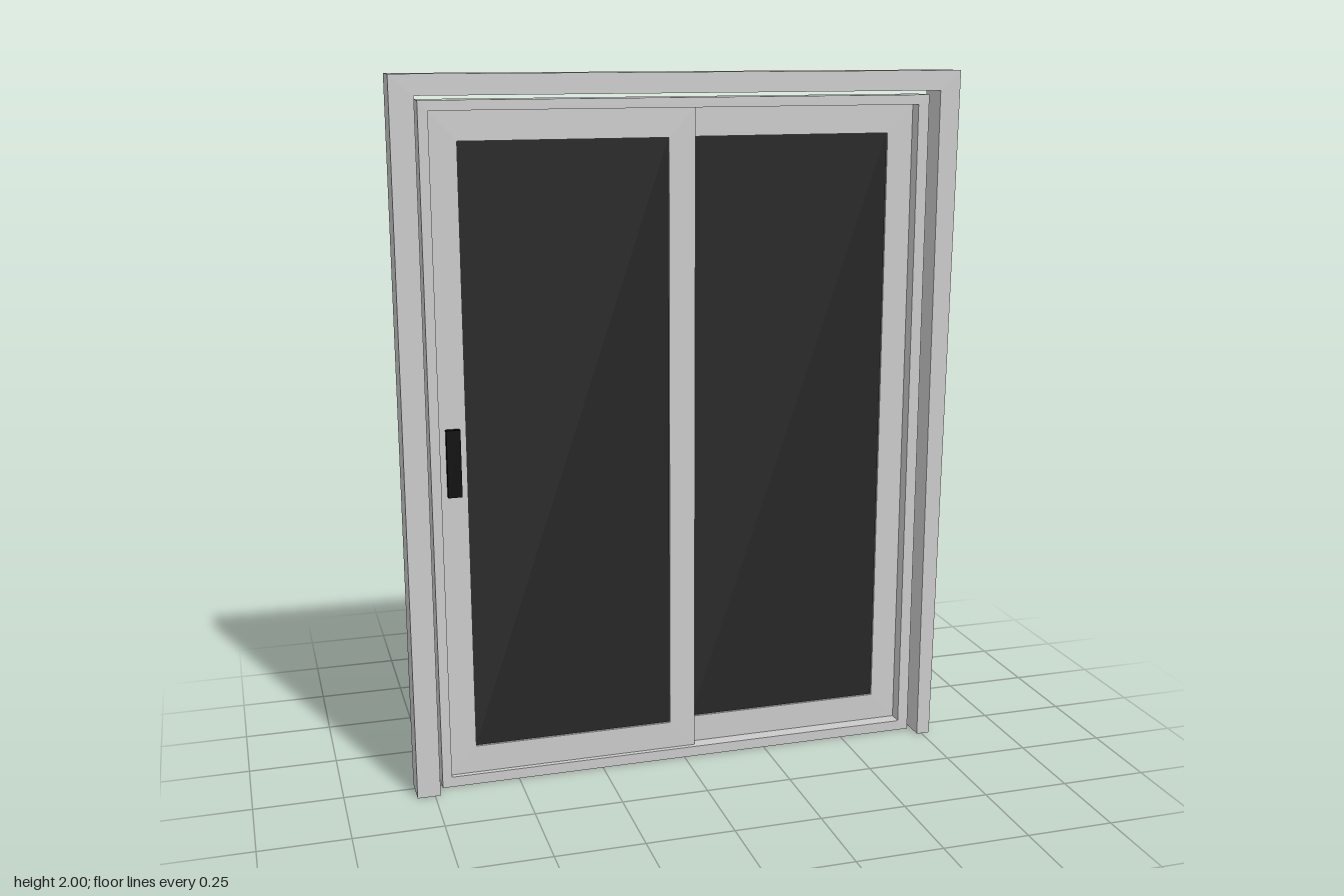
import * as THREE from 'three';

const grey = new THREE.MeshStandardMaterial({ color: 0xcccccc });
const glassMat = new THREE.MeshStandardMaterial({ color: 0x242424 });
const handleMat = new THREE.MeshStandardMaterial({ color: 0x080808 });

const path = (pts) => pts.map(([x, y]) => new THREE.Vector2(x, y));
const rect = (x0, x1, y0, y1) => path([[x0, y0], [x1, y0], [x1, y1], [x0, y1]]);

// Flat outline, with an optional hole, extruded from z0 to z1
function slab(name, outline, hole, z0, z1, material = grey) {
  const shape = new THREE.Shape(outline);
  if (hole) shape.holes.push(new THREE.Path(hole));
  const geometry = new THREE.ExtrudeGeometry(shape, { depth: z1 - z0, bevelEnabled: false });
  const mesh = new THREE.Mesh(geometry, material);
  mesh.name = name;
  mesh.position.z = z0;
  return mesh;
}

// Door panel: stiles and rails around a slightly recessed pane
function panel(name, x0, x1, g0, g1, z0, z1) {
  const group = new THREE.Group();
  group.name = name;
  group.add(
    slab('panelFrame', rect(x0, x1, 0.03, 1.905), rect(g0, g1, 0.11, 1.825), z0, z1),
    slab('glass', rect(g0, g1, 0.11, 1.825), null, z0 + 0.007, z1 - 0.007, glassMat),
  );
  return group;
}

export function createModel() {
  const model = new THREE.Group();
  model.name = 'slidingDoor';

  // Casing: open at the bottom, its left jamb tapering towards the floor
  model.add(slab('casing', path([
    [-0.8, 0], [-0.735, 0], [-0.735, 1.945], [0.735, 1.945],
    [0.735, 0], [0.775, 0], [0.795, 2], [-0.8, 2],
  ]), null, -0.03, 0.065));

  // Door frame with threshold, set back inside the casing
  model.add(slab('doorFrame', rect(-0.722, 0.722, 0, 1.932),
    rect(-0.695, 0.69, 0.03, 1.905), -0.065, 0.02));

  // Two panels on neighbouring tracks, overlapping at the middle stile
  model.add(panel('frontPanel', -0.695, 0.035, -0.62, -0.04, -0.02, 0.005));
  model.add(panel('rearPanel', -0.04, 0.69, 0.035, 0.615, -0.045, -0.02));

  // Pull handle
  model.add(slab('handle', rect(-0.677, -0.638, 0.86, 1.05), null, 0.005, 0.022, handleMat));

  return model;
}
